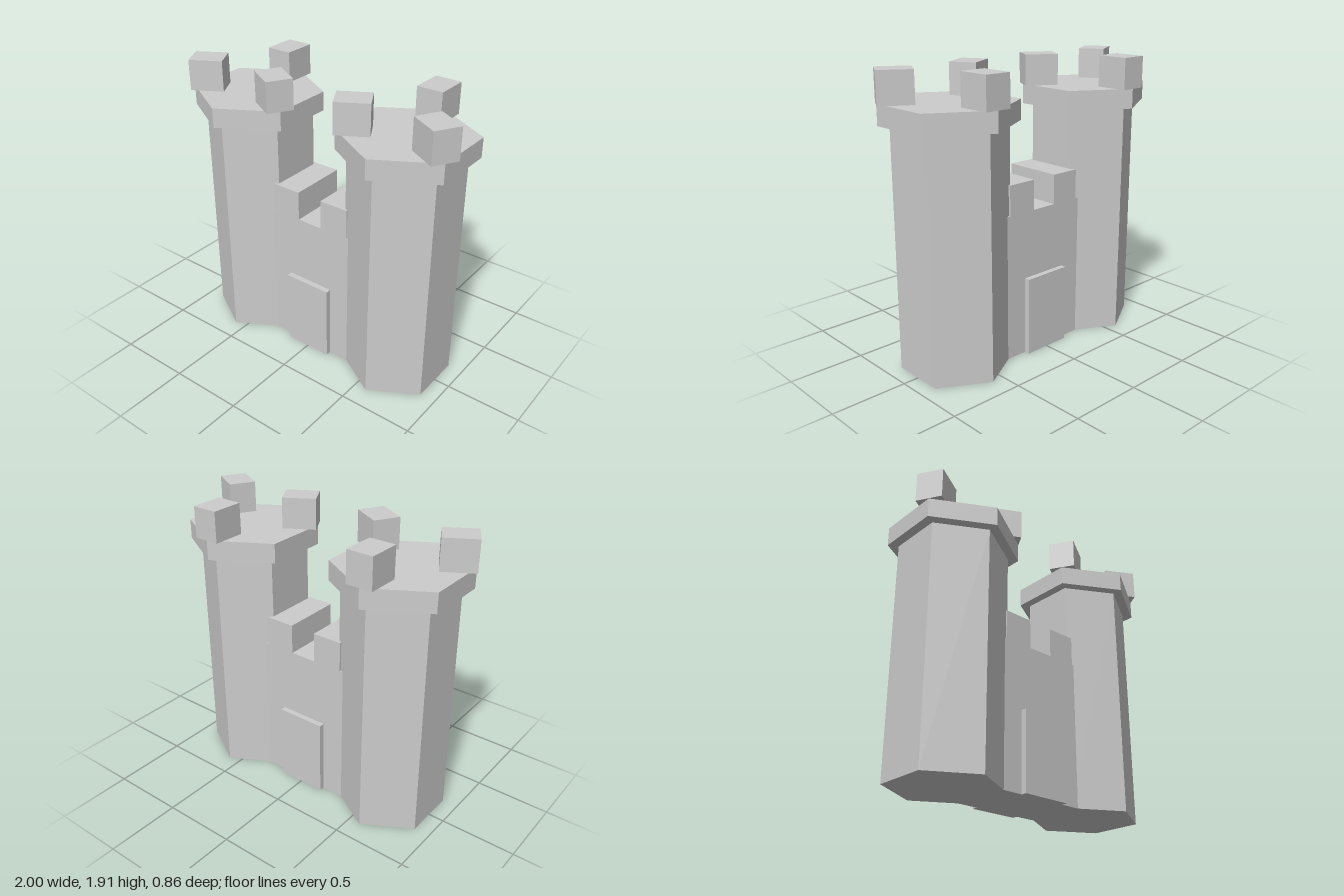
import * as THREE from 'three';

export function createModel() {
  const castle = new THREE.Group();
  castle.name = 'castleGate';
  const material = new THREE.MeshStandardMaterial({ color: 0xcccccc, flatShading: true });

  function add(parent, name, geometry, x, y, z) {
    const mesh = new THREE.Mesh(geometry, material);
    mesh.name = name;
    mesh.position.set(x, y, z);
    parent.add(mesh);
    return mesh;
  }
  // Box given by its size and the height of its base
  const addBox = (parent, name, w, h, d, x, base, z) =>
    add(parent, name, new THREE.BoxGeometry(w, h, d), x, base + h / 2, z);
  // Upright six-sided prism with one corner facing the front
  const addHex = (parent, name, r, h, base) =>
    add(parent, name, new THREE.CylinderGeometry(r, r, h, 6), 0, base + h / 2, 0);

  for (const side of [-1, 1]) {
    // Tower with an overhanging platform and three battlements
    const tower = new THREE.Group();
    tower.name = side > 0 ? 'leftTower' : 'rightTower';
    tower.position.x = side * 0.582;
    castle.add(tower);
    addHex(tower, 'towerShaft', 0.36, 1.58, 0);
    addHex(tower, 'towerPlatform', 0.43, 0.13, 1.58);
    for (let i = 0; i < 3; i++) {
      const angle = Math.PI + (i * Math.PI * 2) / 3;
      const block = addBox(tower, 'towerBattlement', 0.176, 0.205, 0.22,
        Math.sin(angle) * 0.322, 1.71, Math.cos(angle) * 0.322);
      block.rotation.y = angle;
    }
    // Battlement on the wall beside this tower
    addBox(castle, 'wallBattlement', 0.205, 0.2, 0.41, side * 0.1925, 0.98, -0.003);
  }

  // Wall joining the towers, with a door on the front and the back
  addBox(castle, 'gateWall', 0.65, 0.98, 0.41, 0, 0, -0.003);
  for (const [name, z] of [['frontDoor', 0.215], ['backDoor', -0.22]]) {
    addBox(castle, name, 0.336, 0.53, 0.05, 0, 0, z);
  }
  return castle;
}
